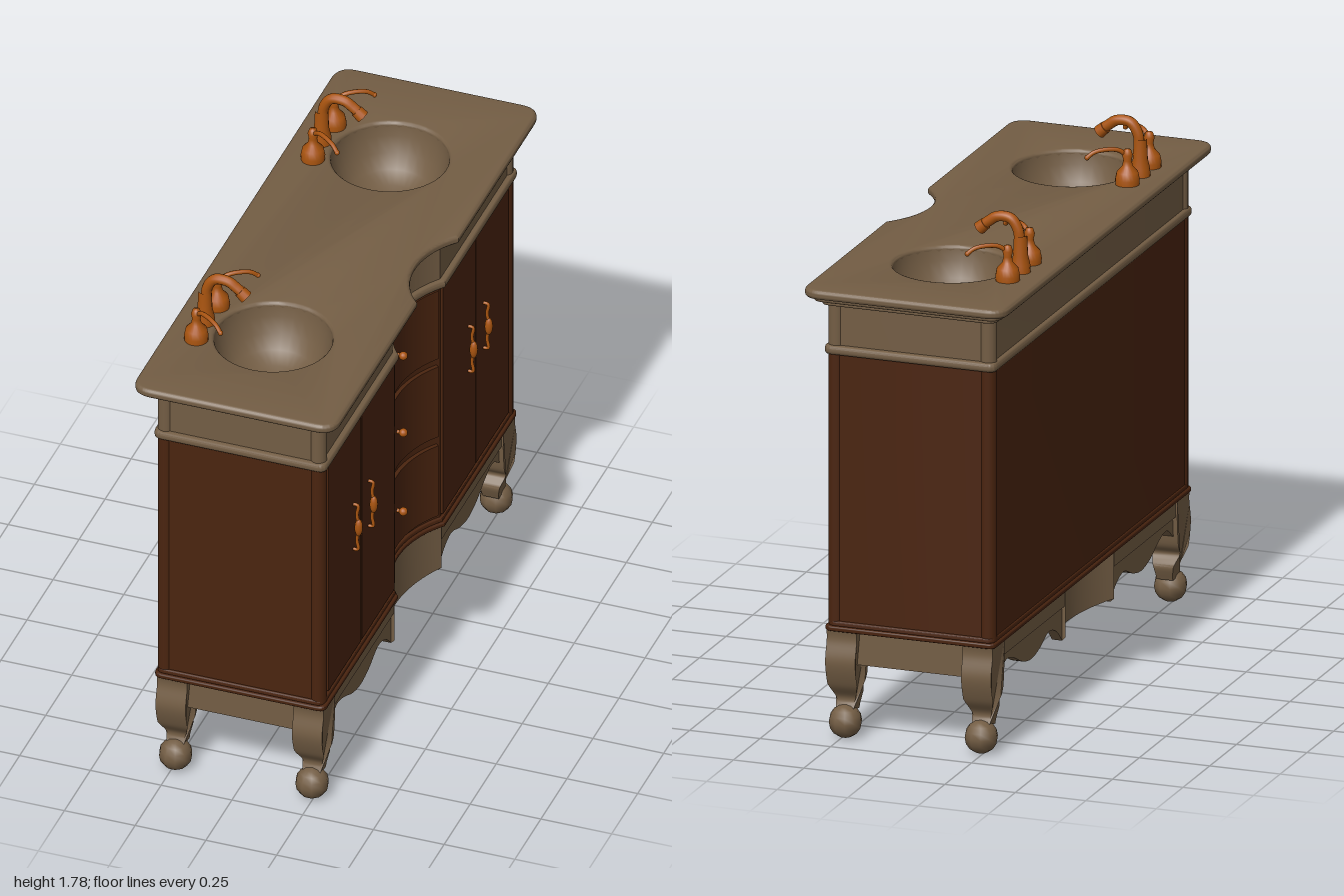
import * as THREE from 'three';
import { toCreasedNormals } from 'three/addons/utils/BufferGeometryUtils.js';

const mat = (name, color, side = THREE.FrontSide) => {
  const m = new THREE.MeshStandardMaterial({ color, side });
  m.name = name;
  return m;
};
const V = (x, y, z) => new THREE.Vector3(x, y, z);
const ARC_X = 0.57; // shared centre of every concave curve on the working face

export function createModel() {
  const stone = mat('taupe', 0x735d44);
  const wood = mat('dark brown wood', 0x4a240f);
  const copper = mat('copper', 0xa9540f);
  const model = new THREE.Group();

  const add = (name, geo, material, parent = model) => {
    const m = new THREE.Mesh(geo, material);
    m.name = name;
    parent.add(m);
    return m;
  };

  // Plan outline: rounded rectangle with a concave bite in the +x side
  function plan(xf, xb, zh, c, R, holeR = 0) {
    const a = Math.acos((ARC_X - xf) / R);
    const s = new THREE.Shape();
    s.moveTo(xb + c, -zh);
    s.lineTo(xf - c, -zh);
    s.quadraticCurveTo(xf, -zh, xf, -zh + c);
    s.lineTo(xf, -R * Math.sin(a));
    s.absarc(ARC_X, 0, R, Math.PI + a, Math.PI - a, true);
    s.lineTo(xf, zh - c);
    s.quadraticCurveTo(xf, zh, xf - c, zh);
    s.lineTo(xb + c, zh);
    s.quadraticCurveTo(xb, zh, xb, zh - c);
    s.lineTo(xb, -zh + c);
    s.quadraticCurveTo(xb, -zh, xb + c, -zh);
    if (holeR) for (const z of [-0.56, 0.56]) {
      s.holes.push(new THREE.Path().absarc(-0.015, z, holeR, 0, Math.PI * 2, true));
    }
    return s;
  }
  function slab(name, material, shape, y0, y1, bevel = 0) {
    const g = new THREE.ExtrudeGeometry(shape, {
      depth: y1 - y0 - 2 * bevel, bevelEnabled: bevel > 0, bevelSize: bevel,
      bevelThickness: bevel, bevelOffset: -bevel, bevelSegments: 3, curveSegments: 24,
    });
    g.rotateX(-Math.PI / 2).translate(0, y0 + bevel, 0);
    return add(name, toCreasedNormals(g, 0.6), material);
  }

  // Countertop, its stepped underside and the frieze below
  slab('countertop', stone, plan(0.36, -0.36, 1.0, 0.07, 0.29, 0.197), 1.548, 1.58, 0.013);
  slab('countertopStep', stone, plan(0.335, -0.335, 0.972, 0.05, 0.315, 0.2), 1.532, 1.552, 0.008);
  slab('countertopCove', stone, plan(0.312, -0.312, 0.945, 0.04, 0.338, 0.2), 1.515, 1.535, 0.006);
  slab('frieze', stone, plan(0.284, -0.29, 0.913, 0.02, 0.366, 0.2), 1.36, 1.52);
  slab('friezeMoulding', stone, plan(0.304, -0.306, 0.932, 0.03, 0.348), 1.34, 1.372, 0.011);

  // Cabinet body and lower moulding
  slab('cabinetBody', wood, plan(0.283, -0.293, 0.915, 0.02, 0.367), 0.38, 1.342);
  slab('lowerMoulding', wood, plan(0.302, -0.304, 0.932, 0.03, 0.35), 0.378, 0.396, 0.006);
  slab('lowerMouldingStep', wood, plan(0.293, -0.298, 0.924, 0.03, 0.357), 0.394, 0.412, 0.006);

  // Round corner posts
  for (const x of [-0.271, 0.268]) for (const z of [-0.894, 0.894]) {
    const post = (name, m, y0, y1) =>
      add(name, new THREE.CylinderGeometry(0.028, 0.028, y1 - y0, 16), m).position.set(x, (y0 + y1) / 2, z);
    post('cabinetCornerPost', wood, 0.4, 1.345);
    post('friezeCornerPost', stone, 1.365, 1.52);
  }

  // Doors with pulls
  const pullCurve = new THREE.CatmullRomCurve3([
    V(0.288, 0.09, 0), V(0.308, 0.088, 0), V(0.304, 0.05, 0), V(0.312, 0, 0),
    V(0.304, -0.05, 0), V(0.308, -0.088, 0), V(0.288, -0.09, 0)]);
  for (const s of [-1, 1]) {
    for (const [z, w] of [[0.39, 0.312], [0.709, 0.312]]) {
      add('door', new THREE.BoxGeometry(0.012, 0.915, w), wood).position.set(0.286, 0.88, s * z);
    }
    for (const z of [0.48, 0.625]) {
      const pull = new THREE.Group();
      pull.name = 'doorPull';
      pull.position.set(0, 0.93, s * z);
      add('pullBar', new THREE.TubeGeometry(pullCurve, 32, 0.006, 8), copper, pull);
      const grip = add('pullGrip', new THREE.SphereGeometry(0.014, 12, 8), copper, pull);
      grip.scale.y = 2.4;
      grip.position.x = 0.31;
      model.add(pull);
    }
  }

  // Curved drawer fronts with knobs
  for (const [y0, y1] of [[0.43, 0.712], [0.748, 1.03], [1.062, 1.336]]) {
    const a = 0.635;
    const s = new THREE.Shape();
    s.absarc(ARC_X, 0, 0.38, Math.PI - a, Math.PI + a, false);
    s.absarc(ARC_X, 0, 0.353, Math.PI + a, Math.PI - a, true);
    slab('drawerFront', wood, s, y0, y1);
    const knob = add('drawerKnob', new THREE.SphereGeometry(0.015, 12, 10), copper);
    knob.position.set(0.238, (y0 + y1) / 2, 0);
    const stem = add('knobStem', new THREE.CylinderGeometry(0.006, 0.009, 0.03, 10), copper);
    stem.rotation.z = -Math.PI / 2;
    stem.position.set(0.222, (y0 + y1) / 2, 0);
  }

  // Scalloped apron: four-cornered sections swept along z
  const wave = new THREE.SplineCurve([
    [0.83, 0.24], [0.797, 0.26], [0.765, 0.283], [0.727, 0.288], [0.67, 0.27], [0.594, 0.235], [0.513, 0.22],
    [0.433, 0.235], [0.353, 0.266], [0.28, 0.246], [0.227, 0.198],
  ].map(([z, y]) => new THREE.Vector2(z, y))).getPoints(40);
  const apronSections = [];
  const section = (z, y) => {
    const mid = Math.abs(z) < 0.2265;
    const xo = mid ? ARC_X - Math.sqrt(0.36 ** 2 - z * z) : 0.278;
    const xi = mid ? ARC_X - Math.sqrt(0.4 ** 2 - z * z) : 0.242;
    apronSections.push([V(xo, 0.38, z), V(xo, y, z), V(xi, y, z), V(xi, 0.38, z)]);
  };
  wave.forEach((p) => section(p.x, p.y));
  for (let i = 0; i <= 20; i++) {
    const z = 0.226 - 0.0226 * i;
    section(z, 0.19 + 0.02 * (z / 0.226) ** 2);
  }
  wave.slice().reverse().forEach((p) => section(-p.x, p.y));
  const tris = [];
  for (let i = 0; i + 1 < apronSections.length; i++) for (let k = 0; k < 4; k++) {
    const a = apronSections[i][k], b = apronSections[i][(k + 1) % 4];
    const c = apronSections[i + 1][(k + 1) % 4], d = apronSections[i + 1][k];
    tris.push(a, b, c, a, c, d);
  }
  const apronGeo = toCreasedNormals(new THREE.BufferGeometry().setFromPoints(tris), 0.6);

  // Cabriole leg silhouette, narrowed towards the ankle
  const legShape = new THREE.Shape();
  legShape.moveTo(0.81, 0.38);
  legShape.lineTo(0.807, 0.315);
  legShape.splineThru([[0.818, 0.22], [0.842, 0.178], [0.815, 0.142], [0.83, 0.09]].map((p) => new THREE.Vector2(...p)));
  legShape.lineTo(0.895, 0.095);
  legShape.splineThru([[0.88, 0.135], [0.914, 0.19], [0.935, 0.27], [0.92, 0.345], [0.922, 0.38]].map((p) => new THREE.Vector2(...p)));
  const legGeo = new THREE.ExtrudeGeometry(legShape, { depth: 0.106, bevelEnabled: false, curveSegments: 5 });
  legGeo.translate(0, 0, -0.053);
  const lp = legGeo.attributes.position;
  for (let i = 0; i < lp.count; i++) {
    const t = THREE.MathUtils.clamp((lp.getY(i) - 0.12) / 0.07, 0, 1);
    lp.setZ(i, lp.getZ(i) * (0.55 + 0.45 * t));
  }
  const legSmooth = toCreasedNormals(legGeo, 0.6);

  // Base: both long sides are alike
  for (const sx of [1, -1]) {
    const side = new THREE.Group();
    side.name = sx > 0 ? 'frontBase' : 'rearBase';
    side.rotation.y = sx > 0 ? 0 : Math.PI;
    model.add(side);
    add('scallopedApron', apronGeo, stone, side);
    for (const sz of [-1, 1]) {
      add('apronRail', new THREE.BoxGeometry(0.04, 0.06, 0.59), stone, side).position.set(0.268, 0.35, sz * 0.52);
      const leg = add('cabrioleLeg', legSmooth, stone, side);
      leg.rotation.y = -sz * Math.PI / 2;
      leg.position.x = 0.241;
      const foot = add('ballFoot', new THREE.SphereGeometry(0.057, 10, 8), stone, side);
      foot.position.set(0.241, 0.057, sz * 0.885);
    }
  }
  for (const sz of [-1, 1]) {
    add('sideApron', new THREE.BoxGeometry(0.4, 0.12, 0.04), stone).position.set(0, 0.32, sz * 0.875);
  }

  // Basins and tap sets
  const lathe = (pts, n) => new THREE.LatheGeometry(pts.map((p) => new THREE.Vector2(...p)), n);
  const bowlGeo = lathe([[0.198, 1.57], [0.192, 1.53], [0.172, 1.475], [0.14, 1.43], [0.09, 1.4], [0.04, 1.388], [0, 1.386]], 32);
  const bellGeo = lathe([[0.04, 0], [0.041, 0.02], [0.036, 0.045], [0.018, 0.065], [0.014, 0.085], [0.018, 0.105], [0.012, 0.122], [0, 0.126]], 20);
  const columnGeo = lathe([[0.034, 0], [0.032, 0.03], [0.025, 0.06], [0.022, 0.13]], 16);
  const spoutCurve = new THREE.CatmullRomCurve3([
    V(-0.254, 1.66, 0), V(-0.248, 1.725, 0), V(-0.222, 1.762, 0), V(-0.175, 1.764, 0), V(-0.145, 1.745, 0), V(-0.118, 1.724, 0)]);
  const leverCurve = new THREE.CatmullRomCurve3([
    V(0, 0.1, 0), V(0.03, 0.122, 0), V(0.075, 0.127, 0), V(0.115, 0.12, 0), V(0.138, 0.104, 0)]);
  for (const z of [-0.56, 0.56]) {
    add('basin', bowlGeo, stone).position.set(-0.015, 0, z);
    add('drain', new THREE.CylinderGeometry(0.028, 0.028, 0.008, 20), stone).position.set(-0.015, 1.388, z);
    const taps = new THREE.Group();
    taps.name = 'tapSet';
    taps.position.z = z;
    model.add(taps);
    add('spoutColumn', columnGeo, copper, taps).position.set(-0.257, 1.578, 0);
    add('spout', new THREE.TubeGeometry(spoutCurve, 28, 0.018, 12), copper, taps);
    const tip = add('spoutTip', new THREE.CylinderGeometry(0.021, 0.023, 0.03, 14), copper, taps);
    tip.position.set(-0.122, 1.725, 0);
    tip.rotation.z = 0.85;
    for (const s of [-1, 1]) {
      const handle = new THREE.Group();
      handle.name = 'tapHandle';
      handle.position.set(-0.25, 1.578, s * 0.102);
      handle.rotation.y = -s * 0.6;
      add('handleBell', bellGeo, copper, handle);
      add('handleLever', new THREE.TubeGeometry(leverCurve, 20, 0.008, 8), copper, handle);
      add('leverEnd', new THREE.SphereGeometry(0.009, 10, 8), copper, handle).position.set(0.138, 0.104, 0);
      taps.add(handle);
    }
  }
  return model;
}
